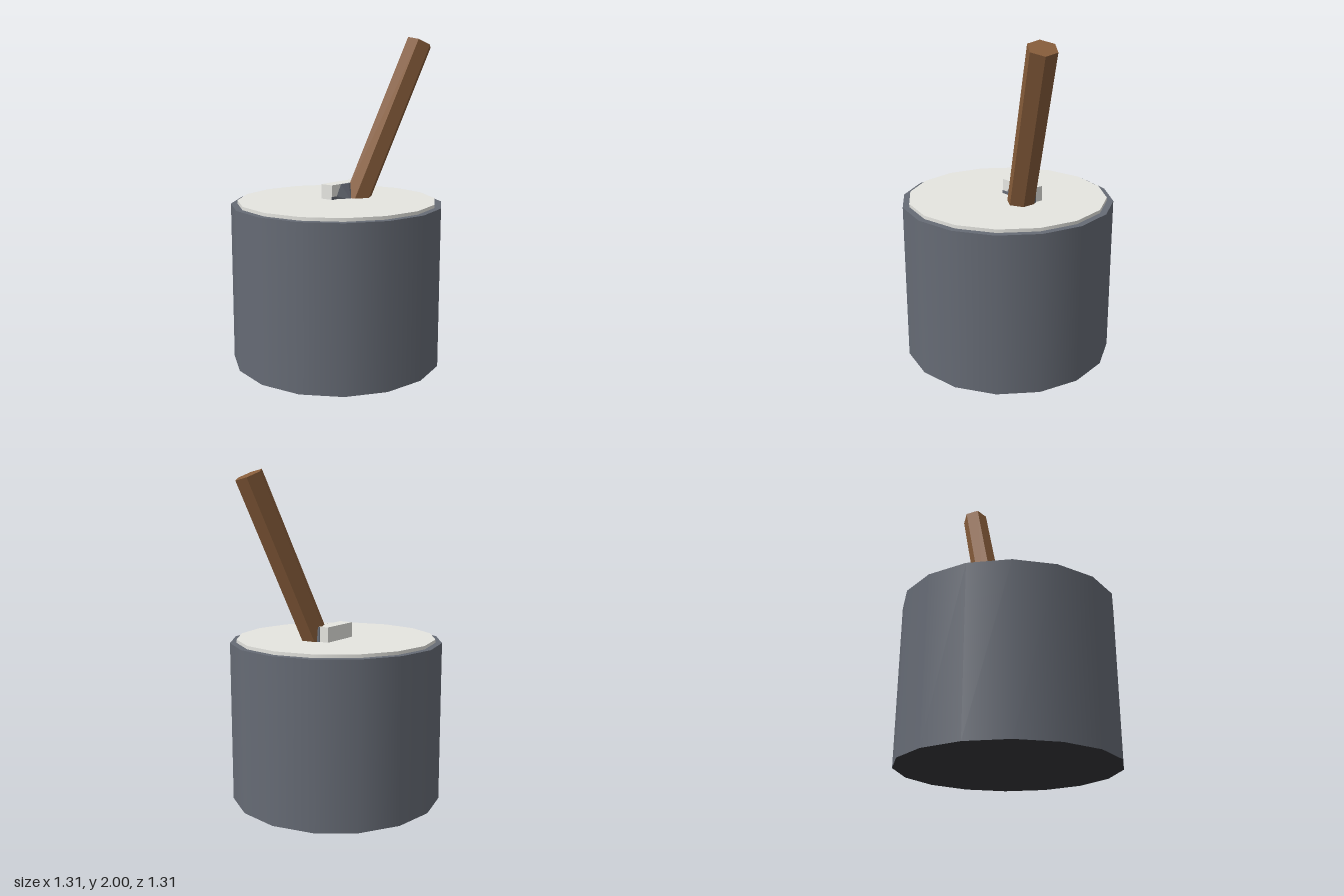
import * as THREE from 'three';
import { ConvexGeometry } from 'three/addons/geometries/ConvexGeometry.js';

export function createModel() {
  const group = new THREE.Group();
  const mat = (name, color) => {
    const m = new THREE.MeshStandardMaterial({ color });
    m.name = name;
    return m;
  };
  const slate = mat('slate', 0x666b75);
  const underside = mat('dark underside', 0x35363a);
  const pale = mat('pale grey', 0xe5e5e0);
  const wood = mat('wood', 0x865c3a);
  wood.flatShading = true;

  const add = (name, geometry, material, x = 0, y = 0, z = 0) => {
    const mesh = new THREE.Mesh(geometry, material);
    mesh.name = name;
    mesh.position.set(x, y, z);
    group.add(mesh);
    return mesh;
  };

  // Sixteen-sided drum (side, rim, underside) and its thin inset top
  add('drum', new THREE.CylinderGeometry(0.653, 0.653, 0.985, 16), [slate, slate, underside], 0, 0.4925, 0);
  add('topPlate', new THREE.CylinderGeometry(0.613, 0.613, 0.04, 16), pale, 0, 0.985, 0);

  // Hexagonal handle leaning to the left and forward, its foot sunk in the drum
  const foot = new THREE.Vector3(0.124, 0.9, 0.012);
  const tip = new THREE.Vector3(0.546, 1.968, 0.217);
  const axis = tip.clone().sub(foot);
  const handle = add('handle', new THREE.CylinderGeometry(0.085, 0.085, axis.length(), 6), wood);
  handle.position.copy(foot).add(tip).multiplyScalar(0.5);
  handle.quaternion.setFromUnitVectors(new THREE.Vector3(0, 1, 0), axis.normalize());

  // Pale block behind the handle
  add('block', new THREE.BoxGeometry(0.264, 0.12, 0.087), pale, 0.088, 1.036, -0.0455);

  // Dark collar wedged between block and handle, with a low foot along the block
  const collar = [
    [0, 0.99, -0.005], [0.08, 0.99, 0.05], [0.23, 0.99, 0], [0.23, 0.99, -0.036],
    [0, 1.025, 0], [0.035, 1.06, 0], [0.04, 1.094, 0], [0.1, 1.094, 0.01],
    [0.225, 1.094, 0], [0.225, 1.094, -0.034],
  ].map((p) => new THREE.Vector3(...p));
  add('collar', new ConvexGeometry(collar), slate);
  add('collarFoot', new THREE.BoxGeometry(0.07, 0.03, 0.006), slate, -0.01, 1.008, -0.002);

  return group;
}
